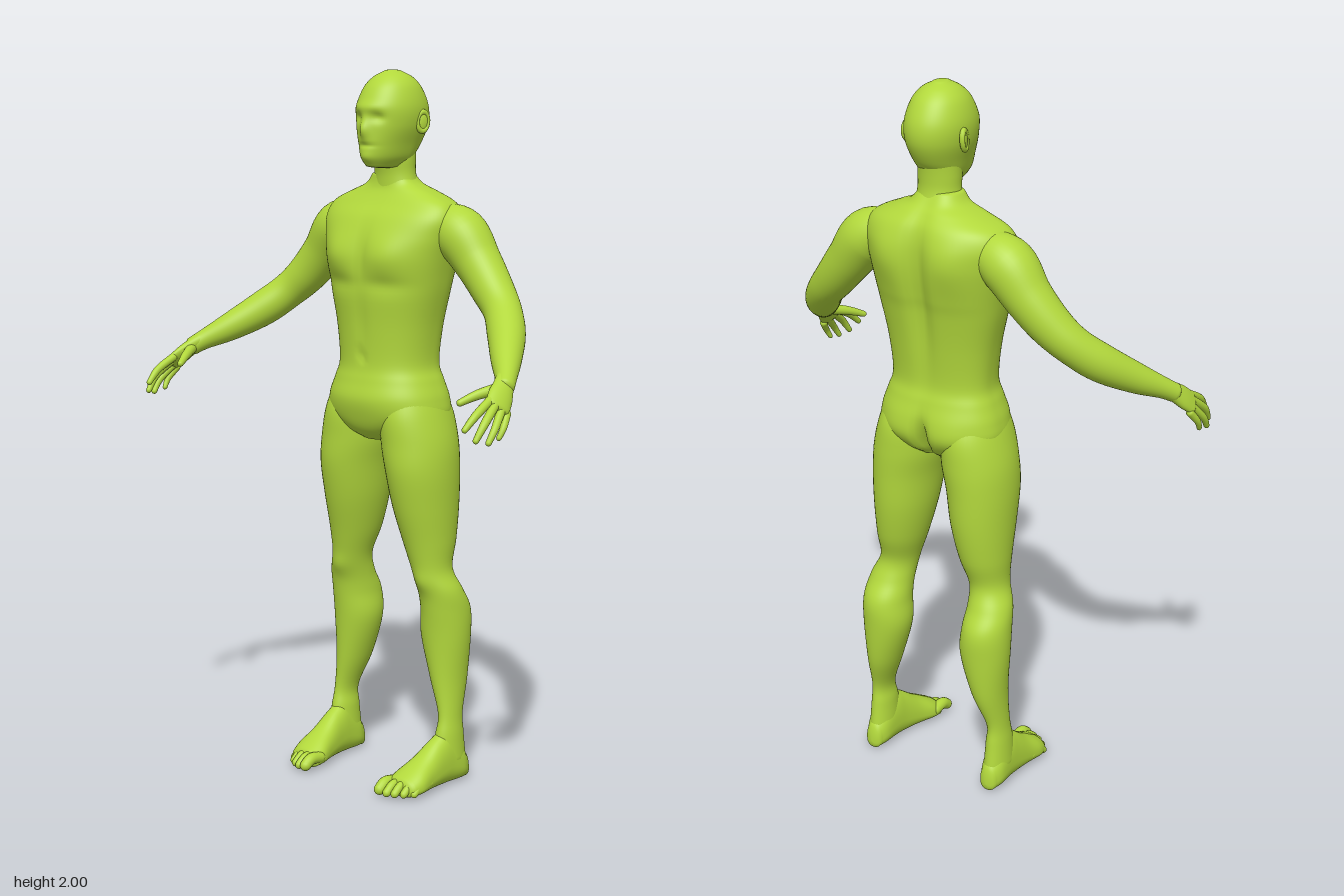
import * as THREE from 'three';

const V = (x, y, z) => new THREE.Vector3(x, y, z);
const X = V(1, 0, 0), Y = V(0, 1, 0), Z = V(0, 0, 1);
const bell = (d, s) => Math.exp(-(d * d) / (s * s));

// Catmull-Rom blend of whole section rows
function rowAt(rows, t) {
  const i = Math.min(Math.floor(t), rows.length - 2), f = t - i;
  const at = (k) => rows[Math.max(0, Math.min(rows.length - 1, k))];
  const [a, b, c, d] = [at(i - 1), at(i), at(i + 1), at(i + 2)];
  return b.map((_, k) => b[k] + 0.5 * f * (c[k] - a[k] + f * (2 * a[k] - 5 * b[k] + 4 * c[k] - d[k]
    + f * (3 * (b[k] - c[k]) + d[k] - a[k]))));
}

// Skin over sections [x, y, z, ru, rvPlus, rvMinus]; rounded caps close both ends.
// With u given, rings stay in the u/v plane; otherwise they follow the path.
function loft(rows, { u, v, caps = [0.01, 0.01], sides = 40, steps = 6, n = 2, sculpt }) {
  const rings = [], last = rows.length - 1, total = last * steps, capSteps = 5;
  for (let s = 0; s <= total; s++) {
    const t = s / steps, r = rowAt(rows, t);
    const a = rowAt(rows, Math.max(0, t - 0.05)), b = rowAt(rows, Math.min(last, t + 0.05));
    const dir = V(b[0] - a[0], b[1] - a[1], b[2] - a[2]).normalize();
    const vv = u ? v : v.clone().addScaledVector(dir, -v.dot(dir)).normalize();
    const uu = u || vv.clone().cross(dir);
    rings.push({ c: V(r[0], r[1], r[2]), dir, uu, vv, r: r.slice(3), k: 1 });
  }
  const cap = (ring, len) => Array.from({ length: capSteps }, (_, i) => {
    const q = ((i + 1) / capSteps) * Math.PI / 2;
    return { ...ring, c: ring.c.clone().addScaledVector(ring.dir, len * Math.sin(q)), k: Math.cos(q) };
  });
  const all = [...cap(rings[0], -caps[0]).reverse(), ...rings, ...cap(rings[total], caps[1])];
  const pos = [], index = [], e = 2 / n;
  all.forEach(({ c, uu, vv, r, k }, j) => {
    for (let i = 0; i < sides; i++) {
      const q = (i / sides) * Math.PI * 2, co = Math.cos(q), si = Math.sin(q);
      const p = c.clone()
        .addScaledVector(uu, k * r[0] * Math.sign(co) * Math.abs(co) ** e)
        .addScaledVector(vv, k * (si > 0 ? r[1] : r[2]) * Math.sign(si) * Math.abs(si) ** e);
      if (sculpt) sculpt(p);
      pos.push(p.x, p.y, p.z);
      if (j < all.length - 1) {
        const a = j * sides + i, b = j * sides + (i + 1) % sides;
        index.push(a, b, a + sides, b, b + sides, a + sides);
      }
    }
  });
  const g = new THREE.BufferGeometry();
  g.setAttribute('position', new THREE.Float32BufferAttribute(pos, 3));
  g.setIndex(index);
  g.computeVertexNormals();
  return g;
}

// Upright body sections [y, half width, front z, back z], listed from the top down
const upright = (rows, cx, zc, options) =>
  loft(rows.map(([y, w, f, b]) => [cx, y, zc, w, f - zc, zc - b]), { u: X, v: Z, ...options });

// Round path [x, y, z, radius]
const tube = (pts, v, options) =>
  loft(pts.map(([x, y, z, r]) => [x, y, z, r, r, r]), { v, ...options });

function mirrored(g) {
  const m = g.clone().scale(-1, 1, 1), ix = m.index.array;
  for (let i = 0; i < ix.length; i += 3) [ix[i], ix[i + 1]] = [ix[i + 1], ix[i]];
  m.computeVertexNormals();
  return m;
}

// Chest, spine, shoulder blade and buttock relief
function sculptTorso(p) {
  const d = p.z + 0.13, w = Math.min(1, Math.abs(d) / 0.06), x = Math.abs(p.x), y = p.y;
  if (d > 0) {
    p.z += w * (0.014 * bell(x - 0.09, 0.06) * bell(y - 1.5, 0.055)
      - 0.008 * bell(x, 0.022) * bell(y - 1.5, 0.08)
      - 0.007 * bell(y - 1.42, 0.025) * bell(x - 0.08, 0.07)
      - 0.004 * bell(x, 0.02) * bell(y - 1.32, 0.08)
      - 0.008 * bell(x, 0.012) * bell(y - 1.22, 0.014));
  } else {
    p.z += w * (0.026 * bell(x, 0.03) * bell(y - 1.47, 0.2)
      - 0.014 * bell(x - 0.1, 0.06) * bell(y - 1.56, 0.07)
      - 0.008 * bell(x - 0.085, 0.06) * bell(y - 1.06, 0.06)
      + 0.04 * bell(x, 0.016) * bell(y - 1.03, 0.06));
  }
}

// Nose, eye sockets and mouth
function sculptHead(p) {
  const w = Math.max(0, Math.min(1, (p.z + 0.1) / 0.07)), x = p.x - 0.012, y = p.y;
  p.z += w * (0.016 * bell(x, 0.014) * bell(y - 1.84, 0.024)
    - 0.011 * bell(Math.abs(x) - 0.034, 0.018) * bell(y - 1.872, 0.014)
    + 0.005 * bell(y - 1.9, 0.014) * bell(x, 0.05)
    - 0.005 * bell(y - 1.797, 0.006) * bell(x, 0.028)
    + 0.004 * bell(y - 1.765, 0.015) * bell(x, 0.025));
}

export function createModel() {
  const model = new THREE.Group();
  model.name = 'humanFigure';
  const skin = new THREE.MeshStandardMaterial({ color: 0xb2d83c });
  skin.name = 'lime skin';
  const add = (name, g, parent = model) => {
    const m = new THREE.Mesh(g, skin);
    m.name = name;
    parent.add(m);
  };

  add('torso', upright([
    [1.715, 0.062, -0.085, -0.188], [1.69, 0.085, -0.082, -0.208], [1.67, 0.135, -0.075, -0.228],
    [1.64, 0.2, -0.055, -0.25], [1.6, 0.222, -0.025, -0.262], [1.55, 0.215, -0.002, -0.266],
    [1.5, 0.203, 0.01, -0.264], [1.45, 0.192, 0.012, -0.256], [1.4, 0.182, 0.01, -0.244],
    [1.3, 0.16, 0.002, -0.228], [1.2, 0.15, 0, -0.219], [1.15, 0.165, 0.01, -0.23],
    [1.1, 0.182, 0.022, -0.242], [1.05, 0.183, 0.013, -0.242], [1.01, 0.125, -0.005, -0.222],
    [0.985, 0.06, -0.035, -0.19],
  ], 0, -0.13, { n: 2.3, sides: 80, sculpt: sculptTorso }));

  add('neck', upright([
    [1.82, 0.058, -0.075, -0.195], [1.76, 0.059, -0.072, -0.187],
    [1.71, 0.062, -0.08, -0.188], [1.64, 0.085, -0.08, -0.21],
  ], 0.008, -0.13, {}));

  add('head', upright([
    [1.996, 0.022, -0.088, -0.142], [1.98, 0.051, -0.058, -0.174], [1.95, 0.074, -0.028, -0.203],
    [1.9, 0.088, -0.004, -0.226], [1.85, 0.085, -0.002, -0.226], [1.8, 0.069, 0, -0.203],
    [1.765, 0.057, -0.003, -0.172], [1.742, 0.042, -0.016, -0.145],
  ], 0.012, -0.115, { n: 2.05, sides: 72, steps: 9, caps: [0.004, 0.009], sculpt: sculptHead }));

  // Ears: a rim around a shallow bowl
  for (const side of [1, -1]) {
    const ear = new THREE.Group();
    ear.name = side > 0 ? 'leftEar' : 'rightEar';
    ear.position.set(0.012 + side * 0.088, 1.86, -0.14);
    ear.rotation.set(-0.15, side * (Math.PI / 2 - 0.3), 0);
    add('earRim', new THREE.TorusGeometry(0.019, 0.006, 10, 28).scale(0.9, 1.35, 1.2), ear);
    add('earBowl', new THREE.SphereGeometry(0.019, 20, 12).scale(0.9, 1.35, 0.35), ear);
    model.add(ear);
  }

  // Limb geometry for the left side
  const parts = {};
  parts.Arm = tube([
    [0.15, 1.585, -0.155, 0.058], [0.222, 1.558, -0.158, 0.075], [0.285, 1.485, -0.158, 0.065],
    [0.345, 1.418, -0.146, 0.058], [0.4, 1.365, -0.122, 0.052], [0.455, 1.312, -0.07, 0.051],
    [0.515, 1.26, 0.005, 0.041], [0.562, 1.224, 0.065, 0.029], [0.582, 1.205, 0.095, 0.026],
  ], V(0.3, 0.8, 0.3), { caps: [0.04, 0.015] });

  parts.Palm = loft([
    [0.566, 1.222, 0.07, 0.022, 0.027, 0.027], [0.58, 1.205, 0.096, 0.02, 0.03, 0.028],
    [0.594, 1.182, 0.125, 0.018, 0.037, 0.034], [0.605, 1.163, 0.15, 0.014, 0.036, 0.035],
  ], { v: V(-0.032, 0.04, 0.05), caps: [0.01, 0.014] });

  const digits = {
    Thumb: [[0.577, 1.203, 0.1, 0.016], [0.545, 1.188, 0.155, 0.013], [0.521, 1.169, 0.2, 0.009]],
    IndexFinger: [[0.59, 1.178, 0.165, 0.012], [0.593, 1.148, 0.222, 0.011], [0.588, 1.115, 0.26, 0.008]],
    MiddleFinger: [[0.602, 1.167, 0.158, 0.012], [0.613, 1.128, 0.212, 0.011], [0.61, 1.088, 0.243, 0.008]],
    RingFinger: [[0.611, 1.154, 0.144, 0.012], [0.625, 1.112, 0.187, 0.01], [0.624, 1.08, 0.21, 0.008]],
    LittleFinger: [[0.616, 1.143, 0.128, 0.011], [0.626, 1.112, 0.153, 0.009], [0.624, 1.088, 0.168, 0.007]],
  };
  for (const [name, pts] of Object.entries(digits)) {
    parts[name] = tube(pts, V(0.3, 0.8, 0.3), { sides: 16, caps: [0.01, 0.008] });
  }

  // Leg rows: centre x, y, centre z, half width, half depth
  parts.Leg = loft([
    [0.098, 1.13, -0.115, 0.07, 0.09], [0.103, 1.06, -0.118, 0.089, 0.118], [0.113, 0.98, -0.12, 0.099, 0.121],
    [0.124, 0.9, -0.12, 0.094, 0.118], [0.13, 0.8, -0.127, 0.085, 0.105], [0.14, 0.7, -0.132, 0.07, 0.083],
    [0.152, 0.62, -0.13, 0.055, 0.062], [0.167, 0.56, -0.148, 0.063, 0.064], [0.17, 0.5, -0.169, 0.068, 0.075],
    [0.168, 0.42, -0.174, 0.07, 0.072], [0.182, 0.3, -0.171, 0.047, 0.061], [0.201, 0.2, -0.157, 0.028, 0.043],
    [0.202, 0.14, -0.152, 0.032, 0.05], [0.202, 0.07, -0.152, 0.036, 0.058],
  ].map(([x, y, z, w, d]) => [x, y, z, w, d, d]), {
    u: X, v: Z, sides: 48, caps: [0.03, 0.03],
    sculpt: (p) => { // kneecap
      if (p.z > -0.13) p.z += 0.008 * bell(p.y - 0.585, 0.03) * bell(p.x - 0.155, 0.035);
    },
  });

  // Foot rows: z, centre x, half width, height
  parts.Foot = loft([
    [-0.205, 0.202, 0.027, 0.08], [-0.18, 0.202, 0.036, 0.115], [-0.13, 0.2, 0.038, 0.15],
    [-0.09, 0.198, 0.041, 0.135], [-0.04, 0.194, 0.048, 0.1], [0.005, 0.19, 0.057, 0.073],
    [0.035, 0.186, 0.054, 0.055],
  ].map(([z, x, w, h]) => [x, h * 0.35, z, w, h * 0.65, h * 0.35]),
  { u: X, v: Y, n: 2.2, caps: [0.018, 0.018] });

  [[0.144, 0.097, 0.017], [0.17, 0.092, 0.0125], [0.192, 0.083, 0.012], [0.213, 0.068, 0.0115],
    [0.233, 0.046, 0.011]].forEach(([x, tip, r], i) => {
    parts['Toe' + (i + 1)] = tube([
      [x, 0.03, tip - 0.075, r], [x, 0.034, tip - 0.04, r], [x, r + 0.004, tip - r, r * 0.95],
    ], Y, { sides: 16, caps: [r, r] });
  });

  for (const [name, g] of Object.entries(parts)) {
    add('left' + name, g);
    add('right' + name, mirrored(g));
  }
  return model;
}
